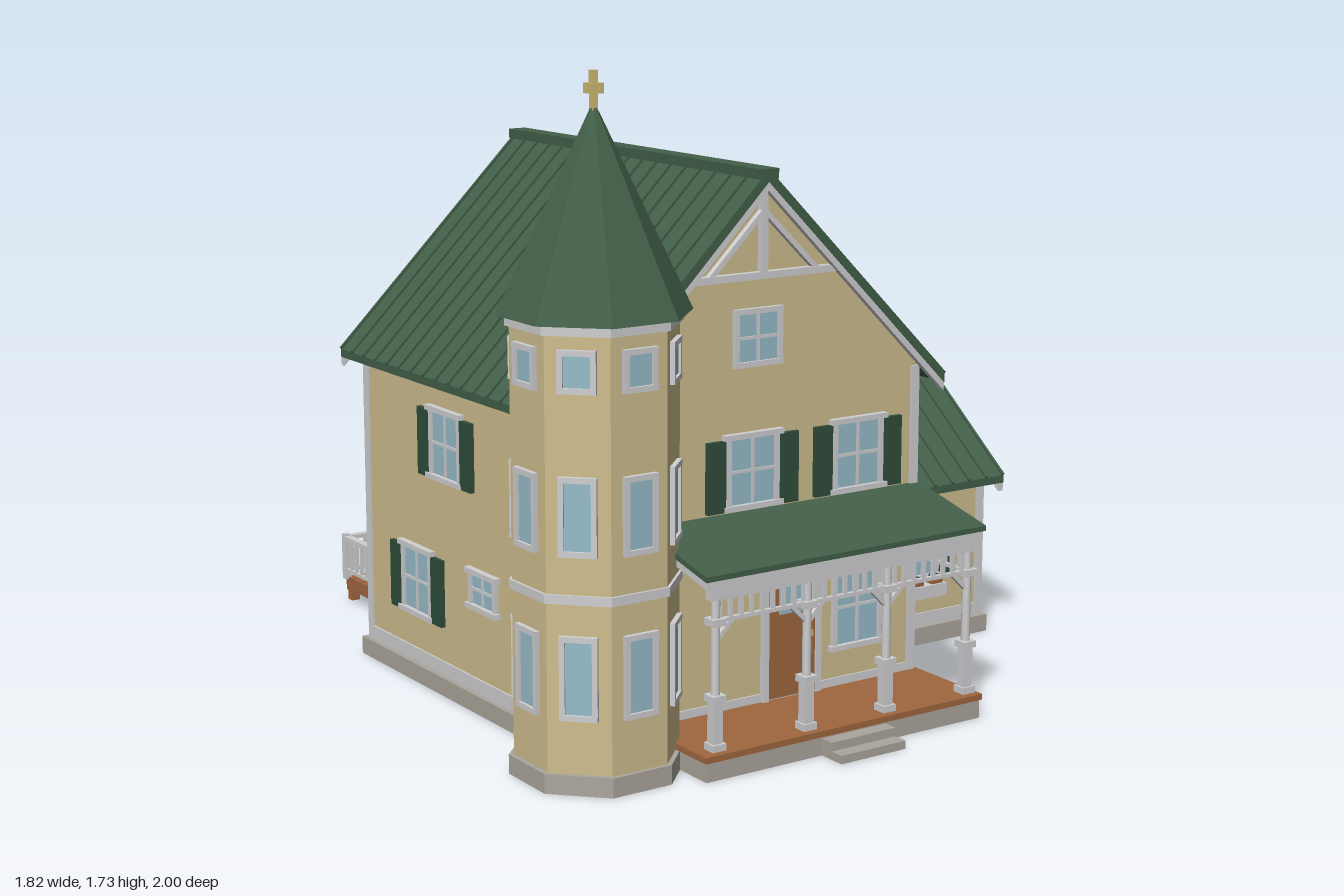
import * as THREE from 'three';

const mat = (name, color) => Object.assign(new THREE.MeshStandardMaterial({ color }), { name });
const M = {
  wall: mat('sand siding', 0xcfbe8e), roof: mat('green roof', 0x436049), trim: mat('pale trim', 0xd0d0d2),
  glass: mat('blue glass', 0x97bccb), wood: mat('brown wood', 0xa0673f), stone: mat('grey stone', 0xaca69c),
  shutter: mat('dark green shutter', 0x2f4d3a), gold: mat('gold', 0xd0bb72),
};

function group(parent, name, x = 0, y = 0, z = 0, ry = 0) {
  const g = new THREE.Group();
  g.name = name;
  g.position.set(x, y, z);
  g.rotation.y = ry;
  parent.add(g);
  return g;
}
function add(parent, name, geo, m) {
  const mesh = new THREE.Mesh(geo, m);
  mesh.name = name;
  parent.add(mesh);
  return mesh;
}
// Box given by its min and max on each axis
function box(parent, name, m, x0, x1, y0, y1, z0, z1) {
  const b = add(parent, name, new THREE.BoxGeometry(x1 - x0, y1 - y0, z1 - z0), m);
  b.position.set((x0 + x1) / 2, (y0 + y1) / 2, (z0 + z1) / 2);
  return b;
}
// Flat bar between two points in the xy plane
function bar(parent, name, m, ax, ay, bx, by, z, t, d) {
  const b = add(parent, name, new THREE.BoxGeometry(Math.hypot(bx - ax, by - ay), t, d), m);
  b.position.set((ax + bx) / 2, (ay + by) / 2, z);
  b.rotation.z = Math.atan2(by - ay, bx - ax);
  return b;
}
// Outline in xy extruded from z0 to z1
function prism(parent, name, m, pts, z0, z1) {
  const geo = new THREE.ExtrudeGeometry(new THREE.Shape(pts.map(p => new THREE.Vector2(...p))),
    { depth: z1 - z0, bevelEnabled: false });
  return add(parent, name, geo.translate(0, 0, z0), m);
}
// Eight-sided tower piece with flat faces on the axes; a = centre-to-face distance
function octagon(parent, name, m, aTop, aBot, y0, y1) {
  const k = 1 / Math.cos(Math.PI / 8);
  let geo = new THREE.CylinderGeometry(aTop * k, aBot * k, y1 - y0, 8).rotateY(Math.PI / 8).toNonIndexed();
  geo.computeVertexNormals();
  return add(parent, name, geo.translate(0, (y0 + y1) / 2, 0), m);
}

// Framed window facing local +z, centred at the given spot on a wall
function windowAt(parent, x, y, z, ry, w, h, { shutters = false, cross = true, cap = true } = {}) {
  const g = group(parent, 'window', x, y, z, ry), f = 0.014, a = w / 2, b = h / 2;
  box(g, 'windowGlass', M.glass, -a + f, a - f, -b + f, b - f, -0.004, 0.005);
  for (const s of [-1, 1]) {
    box(g, 'windowSideFrame', M.trim, s * (a - f / 2) - f / 2, s * (a - f / 2) + f / 2, -b, b, -0.004, 0.012);
    const e = cap ? 0.01 : 0;
    box(g, s > 0 ? 'windowLintel' : 'windowSill', M.trim, -a - e, a + e, s * (b - f / 2) - f / 2, s * (b - f / 2) + f / 2, -0.004, cap ? 0.018 : 0.013);
    if (shutters) box(g, 'shutter', M.shutter, s * (a + 0.032) - 0.028, s * (a + 0.032) + 0.028, -b, b - f, -0.004, 0.013);
  }
  if (cross) {
    box(g, 'windowMullion', M.trim, -0.004, 0.004, -b + f, b - f, 0, 0.009);
    box(g, 'windowRail', M.trim, -a + f, a - f, -0.004, 0.004, 0, 0.009);
  }
  return g;
}
// Panelled door with a glass light
function doorAt(parent, x, z, ry) {
  const g = group(parent, 'door', x, 0, z, ry);
  box(g, 'doorLeaf', M.wood, -0.077, 0.077, 0.07, 0.405, -0.004, 0.01);
  box(g, 'doorGlass', M.glass, -0.042, 0.042, 0.295, 0.385, 0.008, 0.014);
  box(g, 'doorKnob', M.gold, 0.045, 0.06, 0.225, 0.24, 0.01, 0.025);
  for (const s of [-1, 1]) box(g, 'doorJamb', M.trim, s * 0.085 - 0.009, s * 0.085 + 0.009, 0.065, 0.41, -0.004, 0.015);
  box(g, 'doorHead', M.trim, -0.105, 0.105, 0.405, 0.424, -0.004, 0.02);
}
// Gabled block with its ridge along local z: walls, corner boards, seamed roof and bargeboards
function gabled(g, { hw, wallTop, peak, z0, z1, rw, eave, ridge, r0, r1, seams }) {
  prism(g, 'walls', M.wall, [[-hw, 0.04], [hw, 0.04], [hw, wallTop], [0, peak], [-hw, wallTop]], z0, z1);
  box(g, 'skirtBoard', M.trim, -hw - 0.005, hw + 0.005, 0.05, 0.088, z0 - 0.005, z1 + 0.005);
  for (const s of [-1, 1]) {
    for (const z of [z0, z1]) {
      const x = s * (hw - 0.007), c = z === z0 ? z + 0.007 : z - 0.007;
      box(g, 'cornerBoard', M.trim, x - 0.013, x + 0.013, 0.05, wallTop - 0.005, c - 0.013, c + 0.013);
    }
  }
  const chevron = (a, b) => [[rw, eave - b], [rw, eave - a], [0, ridge - a], [-rw, eave - a], [-rw, eave - b], [0, ridge - b]];
  prism(g, 'roof', M.roof, chevron(0, 0.022), r0, r1);
  for (const [a, b] of [[r0 + 0.002, r0 + 0.02], [r1 - 0.02, r1 - 0.002]]) prism(g, 'bargeboard', M.trim, chevron(0.018, 0.045), a, b);
  for (let i = 0; i <= seams; i++) {
    const z = r0 + 0.004 + (r1 - r0 - 0.008) * i / seams;
    for (const s of [-1, 1]) bar(g, 'roofSeam', M.roof, 0, ridge, s * rw, eave, z, 0.014, 0.007);
  }
  box(g, 'ridgeCap', M.roof, -0.027, 0.027, ridge - 0.015, ridge + 0.011, r0 - 0.004, r1 + 0.004);
}

function buildMain(root) {
  const g = group(root, 'mainHouse');
  box(g, 'foundation', M.stone, -0.735, 0.355, 0, 0.05, -0.5, 0.67);
  gabled(group(g, 'mainBlock', -0.19), { hw: 0.525, wallTop: 0.91, peak: 1.43, z0: -0.48, z1: 0.65,
    rw: 0.58, eave: 0.882, ridge: 1.455, r0: -0.52, r1: 0.7, seams: 18 });
  // Front
  for (const x of [-0.205, 0.135]) windowAt(g, x, 0.692, 0.65, 0, 0.165, 0.2, { shutters: true });
  windowAt(g, -0.19, 1.035, 0.65, 0, 0.15, 0.15, { cap: false });
  windowAt(g, 0.14, 0.28, 0.65, 0, 0.165, 0.23);
  doorAt(g, -0.078, 0.65, 0);
  // Gable truss
  const t = group(g, 'gableTruss', -0.19, 0, 0.675);
  box(t, 'tieBeam', M.trim, -0.23, 0.23, 1.187, 1.205, -0.01, 0.01);
  box(t, 'kingPost', M.trim, -0.009, 0.009, 1.2, 1.42, -0.01, 0.01);
  for (const s of [-1, 1]) bar(t, 'trussBrace', M.trim, s * 0.165, 1.2, 0, 1.36, 0, 0.014, 0.016);
  // Back
  windowAt(g, -0.185, 0.692, -0.48, Math.PI, 0.15, 0.2);
  windowAt(g, -0.495, 0.285, -0.48, Math.PI, 0.15, 0.2);
  doorAt(g, -0.165, -0.48, Math.PI);
  box(g, 'backStep', M.stone, -0.27, -0.06, 0.01, 0.048, -0.545, -0.49);
  // Right and left sides
  windowAt(g, 0.335, 0.292, 0.483, Math.PI / 2, 0.155, 0.19);
  windowAt(g, 0.335, 0.692, 0.075, Math.PI / 2, 0.165, 0.2);
  windowAt(g, -0.715, 0.692, -0.02, -Math.PI / 2, 0.165, 0.2, { shutters: true });
  windowAt(g, -0.715, 0.285, -0.19, -Math.PI / 2, 0.165, 0.2, { shutters: true });
  windowAt(g, -0.715, 0.335, 0.17, -Math.PI / 2, 0.14, 0.11);
}

function buildWing(root) {
  const g = group(root, 'sideWing');
  box(g, 'foundation', M.stone, 0.3, 0.88, 0, 0.05, -0.305, 0.335);
  gabled(group(g, 'wingBlock', 0, 0, 0.015, Math.PI / 2), { hw: 0.3, wallTop: 0.495, peak: 0.732, z0: 0.31, z1: 0.865,
    rw: 0.357, eave: 0.473, ridge: 0.752, r0: 0.325, r1: 0.9, seams: 9 });
  windowAt(g, 0.598, 0.285, 0.315, 0, 0.205, 0.19, { shutters: true });
  windowAt(g, 0.6, 0.292, -0.285, Math.PI, 0.205, 0.19);
  windowAt(g, 0.865, 0.292, 0.017, Math.PI / 2, 0.21, 0.185);
  windowAt(g, 0.865, 0.542, 0.017, Math.PI / 2, 0.1, 0.1, { cap: false });
  // Flower box
  box(g, 'flowerBox', M.trim, 0.5, 0.7, 0.145, 0.182, 0.31, 0.365);
  for (const x of [0.53, 0.6, 0.67]) {
    box(g, 'flowerPot', M.wood, x - 0.02, x + 0.02, 0.18, 0.2, 0.328, 0.358);
    box(g, 'plant', M.shutter, x - 0.012, x + 0.012, 0.2, 0.207, 0.332, 0.354);
  }
}

function buildTower(root) {
  const g = group(root, 'tower', -0.69, 0, 0.675), a = 0.193;
  octagon(g, 'towerBase', M.stone, 0.205, 0.205, 0, 0.05);
  octagon(g, 'towerWalls', M.wall, a, a, 0.05, 1.135);
  octagon(g, 'towerBand', M.trim, 0.2, 0.2, 0.475, 0.498);
  octagon(g, 'towerCornice', M.trim, 0.203, 0.203, 1.125, 1.152);
  octagon(g, 'towerRoof', M.roof, 0.003, 0.224, 1.15, 1.652);
  for (const k of [-3, -2, -1, 0, 1]) {
    const r = k * Math.PI / 4;
    for (const [y, h] of [[0.292, 0.21], [0.69, 0.195], [1.04, 0.105]])
      windowAt(g, a * Math.sin(r), y, a * Math.cos(r), r, 0.095, h, { cross: false, cap: false });
  }
  box(g, 'finialShaft', M.gold, -0.008, 0.008, 1.63, 1.73, -0.008, 0.008);
  box(g, 'finialBlock', M.gold, -0.018, 0.018, 1.675, 1.7, -0.018, 0.018);
}

function buildPorch(root) {
  const g = group(root, 'porch');
  box(g, 'porchBase', M.stone, -0.53, 0.345, 0, 0.05, 0.6, 0.92);
  box(g, 'porchFloor', M.wood, -0.535, 0.35, 0.05, 0.066, 0.645, 0.925);
  box(g, 'lowerStep', M.stone, -0.175, 0.03, 0, 0.022, 0.9, 1);
  box(g, 'upperStep', M.stone, -0.175, 0.03, 0.022, 0.045, 0.9, 0.96);
  // Sloped roof, profile in (z, y) swept along x
  const roof = prism(g, 'porchRoof', M.roof, [[-0.925, 0.508], [-0.64, 0.572], [-0.64, 0.588], [-0.925, 0.522]], -0.535, 0.35);
  roof.rotation.y = Math.PI / 2;
  const fascia = prism(g, 'porchFascia', M.trim, [[-0.918, 0.486], [-0.64, 0.55], [-0.64, 0.574], [-0.918, 0.511]], -0.528, 0.343);
  fascia.rotation.y = Math.PI / 2;
  // Posts, brackets and spindle frieze
  const posts = [-0.48, -0.2, 0.055, 0.322], z = 0.885;
  for (const x of posts) {
    const p = group(g, 'porchPost', x, 0, z);
    box(p, 'postBase', M.trim, -0.014, 0.014, 0.066, 0.19, -0.014, 0.014);
    for (const y of [0.066, 0.19, 0.385]) box(p, 'postCollar', M.trim, -0.02, 0.02, y, y + 0.018, -0.02, 0.02);
    add(p, 'postShaft', new THREE.CylinderGeometry(0.012, 0.012, 0.3, 10).translate(0, 0.34, 0), M.trim);
    for (const s of [-1, 1]) if (Math.abs(x + s * 0.1) < 0.42) bar(p, 'postBracket', M.trim, 0, 0.345, s * 0.05, 0.395, 0, 0.012, 0.012);
  }
  const frieze = (x0, x1, parent, n) => {
    box(parent, 'porchBeam', M.trim, x0, x1, 0.45, 0.49, -0.014, 0.014);
    box(parent, 'friezeRail', M.trim, x0, x1, 0.39, 0.4, -0.006, 0.006);
    for (let i = 1; i < n; i++) {
      const x = x0 + (x1 - x0) * i / n;
      box(parent, 'spindle', M.trim, x - 0.005, x + 0.005, 0.395, 0.455, -0.005, 0.005);
    }
  };
  frieze(-0.5, 0.336, group(g, 'frontFrieze', 0, 0, z), 26);
  frieze(-0.885, -0.65, group(g, 'sideFrieze', 0.322, 0, 0, Math.PI / 2), 8);
}

function buildDeck(root) {
  const g = group(root, 'backDeck'), x0 = -0.545, x1 = 0.24;
  for (let i = 0; i < 11; i++) {
    const z = -0.99 + i * 0.0455;
    box(g, 'deckBoard', M.wood, x0 + 0.01, x1, 0.064, 0.08, z, z + 0.038);
  }
  for (let i = 0; i < 7; i++) {
    const x = x0 + 0.02 + i * 0.124;
    box(g, 'deckJoist', M.wood, x - 0.009, x + 0.009, 0.042, 0.064, -0.985, -0.48);
  }
  box(g, 'deckEdgeBeam', M.wood, x0 + 0.01, x1, 0.04, 0.064, -0.99, -0.972);
  for (const x of [-0.52, -0.15, 0.215]) for (const z of [-0.972, -0.72])
    box(g, 'deckLeg', M.wood, x - 0.013, x + 0.013, 0.01, 0.064, z - 0.013, z + 0.013);
  // Steps on the +x side
  box(g, 'deckUpperStep', M.wood, x1, 0.3, 0.04, 0.054, -0.85, -0.63);
  box(g, 'deckLowerStep', M.wood, 0.29, 0.35, 0.016, 0.032, -0.85, -0.63);
  for (const z of [-0.84, -0.64]) box(g, 'stepStringer', M.wood, x1 - 0.01, 0.335, 0.006, 0.04, z - 0.008, z + 0.008);
  // Railings run along local x
  const railing = (x, z, ry, len, posts) => {
    const r = group(g, 'railing', x, 0, z, ry), n = Math.round(len / 0.032);
    box(r, 'topRail', M.trim, 0, len, 0.197, 0.21, -0.011, 0.011);
    box(r, 'bottomRail', M.trim, 0, len, 0.098, 0.108, -0.006, 0.006);
    for (let i = 1; i < n; i++) box(r, 'baluster', M.trim, len * i / n - 0.005, len * i / n + 0.005, 0.1, 0.2, -0.005, 0.005);
    for (let i = 0; i <= posts; i++) {
      const p = len * i / posts;
      box(r, 'railPost', M.trim, p - 0.01, p + 0.01, 0.075, 0.215, -0.01, 0.01);
    }
  };
  railing(-0.535, -0.985, 0, 0.765, 4);
  railing(-0.535, -0.49, Math.PI / 2, 0.495, 3);
  railing(0.23, -0.49, Math.PI / 2, 0.155, 1);
  railing(0.23, -0.84, Math.PI / 2, 0.145, 1);
}

export function createModel() {
  const root = new THREE.Group();
  root.name = 'house';
  for (const build of [buildMain, buildWing, buildTower, buildPorch, buildDeck]) build(root);
  return root;
}
